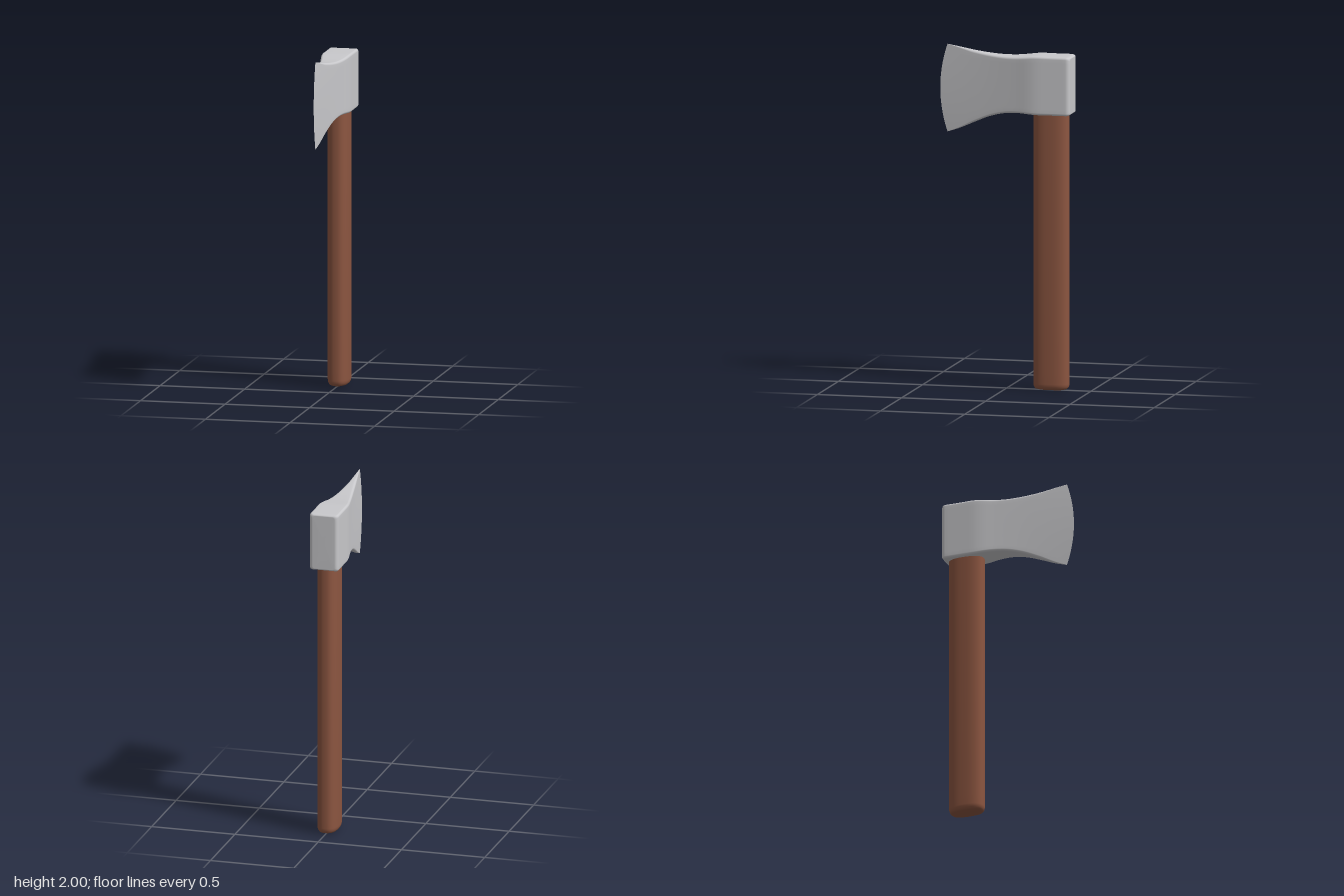
import * as THREE from 'three';

// Skin a row of equal-length rings; optional fan caps at either end
function loft(rings, capStart, capEnd) {
  const n = rings[0].length;
  const pos = rings.flat(2);
  const index = [];
  for (let r = 0; r < rings.length - 1; r++) {
    for (let i = 0; i < n; i++) {
      const a = r * n + i, b = r * n + (i + 1) % n;
      index.push(a, b, b + n, a, b + n, a + n);
    }
  }
  const cap = (r, flip) => {
    const c = pos.length / 3;
    for (let k = 0; k < 3; k++) pos.push(rings[r].reduce((s, p) => s + p[k], 0) / n);
    for (let i = 0; i < n; i++) {
      const a = r * n + i, b = r * n + (i + 1) % n;
      if (flip) index.push(c, b, a); else index.push(c, a, b);
    }
  };
  if (capStart) cap(0, true);
  if (capEnd) cap(rings.length - 1, false);
  const g = new THREE.BufferGeometry();
  g.setAttribute('position', new THREE.Float32BufferAttribute(pos, 3));
  g.setIndex(index);
  g.computeVertexNormals();
  return g;
}

// Head profile along z: half width, bottom, top
const stations = [
  [-0.395, 0.0865, 1.615, 1.957],
  [-0.28, 0.0865, 1.615, 1.957],
  [-0.18, 0.0855, 1.615, 1.957],
  [-0.13, 0.079, 1.618, 1.952],
  [-0.08, 0.069, 1.62, 1.947],
  [0, 0.055, 1.615, 1.946],
  [0.1, 0.039, 1.592, 1.954],
  [0.21, 0.0235, 1.55, 1.97],
  [0.31, 0.0105, 1.512, 1.987],
  [0.395, 0, 1.488, 2.0],
];
const profile = new THREE.CubicInterpolant(
  stations.map(s => s[0]), stations.flatMap(s => s.slice(1)), 3, new Float32Array(3));

// Rounded rectangle at depth z, bowed towards the cutting edge
function headRing(z, insetX = 0, insetY = 0) {
  let [w, bottom, top] = profile.evaluate(z);
  w = Math.max(0, w - insetX);
  bottom += insetY;
  top -= insetY;
  const mid = (top + bottom) / 2, h = (top - bottom) / 2;
  const r = Math.min(0.014, w * 0.6);
  const bow = 0.043 * Math.max(0, (z + 0.1) / 0.495) ** 2;
  const corners = [[1, 1], [-1, 1], [-1, -1], [1, -1]];
  const outline = [];
  corners.forEach(([sx, sy], c) => {
    for (let k = 0; k <= 4; k++) {
      const a = (c + k / 4) * Math.PI / 2;
      outline.push([sx * (w - r) + r * Math.cos(a), sy * (h - r) + r * Math.sin(a)]);
    }
    // points along the tall cheeks and the short top and bottom
    const a = outline[outline.length - 1];
    const [nx, ny] = corners[(c + 1) % 4];
    const b = c % 2 ? [nx * w, ny * (h - r)] : [nx * (w - r), ny * h];
    const steps = c % 2 ? 14 : 4;
    for (let k = 1; k < steps; k++) {
      outline.push([a[0] + (b[0] - a[0]) * k / steps, a[1] + (b[1] - a[1]) * k / steps]);
    }
  });
  return outline.map(([x, y]) => [x, mid + y, z - bow * (y / h) ** 2]);
}

function createHead() {
  const rings = [];
  // rounded poll at the back
  for (let k = 0; k <= 5; k++) {
    const a = k / 5 * Math.PI / 2;
    const out = 1 - Math.sin(a);
    const ring = headRing(-0.38, 0.022 * out, 0.012 * out);
    const z = -0.393 + 0.025 * (1 - Math.cos(a));
    rings.push(ring.map(p => [p[0], p[1], z]));
  }
  // eye, cheeks and blade
  for (let k = 1; k <= 36; k++) rings.push(headRing(-0.368 + 0.763 * k / 36));
  return loft(rings, true, false);
}

function createHandle() {
  const ring = (y, inset) => {
    const pts = [];
    for (let i = 0; i < 48; i++) {
      const a = i / 48 * Math.PI * 2;
      const round = v => Math.sign(v) * Math.abs(v) ** 0.78;
      pts.push([(0.062 - inset) * round(Math.cos(a)), y,
        -0.265 - (0.105 - inset) * round(Math.sin(a))]);
    }
    return pts;
  };
  // softly domed butt end, then the straight shaft up into the head
  const rings = [ring(0.005, 0.045), ring(0.008, 0.03)];
  for (let k = 0; k <= 5; k++) {
    const a = k / 5 * Math.PI / 2;
    rings.push(ring(0.012 + 0.032 * (1 - Math.cos(a)), 0.018 * (1 - Math.sin(a))));
  }
  rings.push(ring(0.1, 0), ring(1.7, 0));
  return loft(rings, true, true);
}

export function createModel() {
  const steel = new THREE.MeshStandardMaterial({ color: 0xc8c8cb });
  steel.name = 'steel';
  const wood = new THREE.MeshStandardMaterial({ color: 0x8b5540 });
  wood.name = 'wood';

  const group = new THREE.Group();
  group.name = 'axe';
  const head = new THREE.Mesh(createHead(), steel);
  head.name = 'axeHead';
  const handle = new THREE.Mesh(createHandle(), wood);
  handle.name = 'handle';
  group.add(head, handle);
  return group;
}
